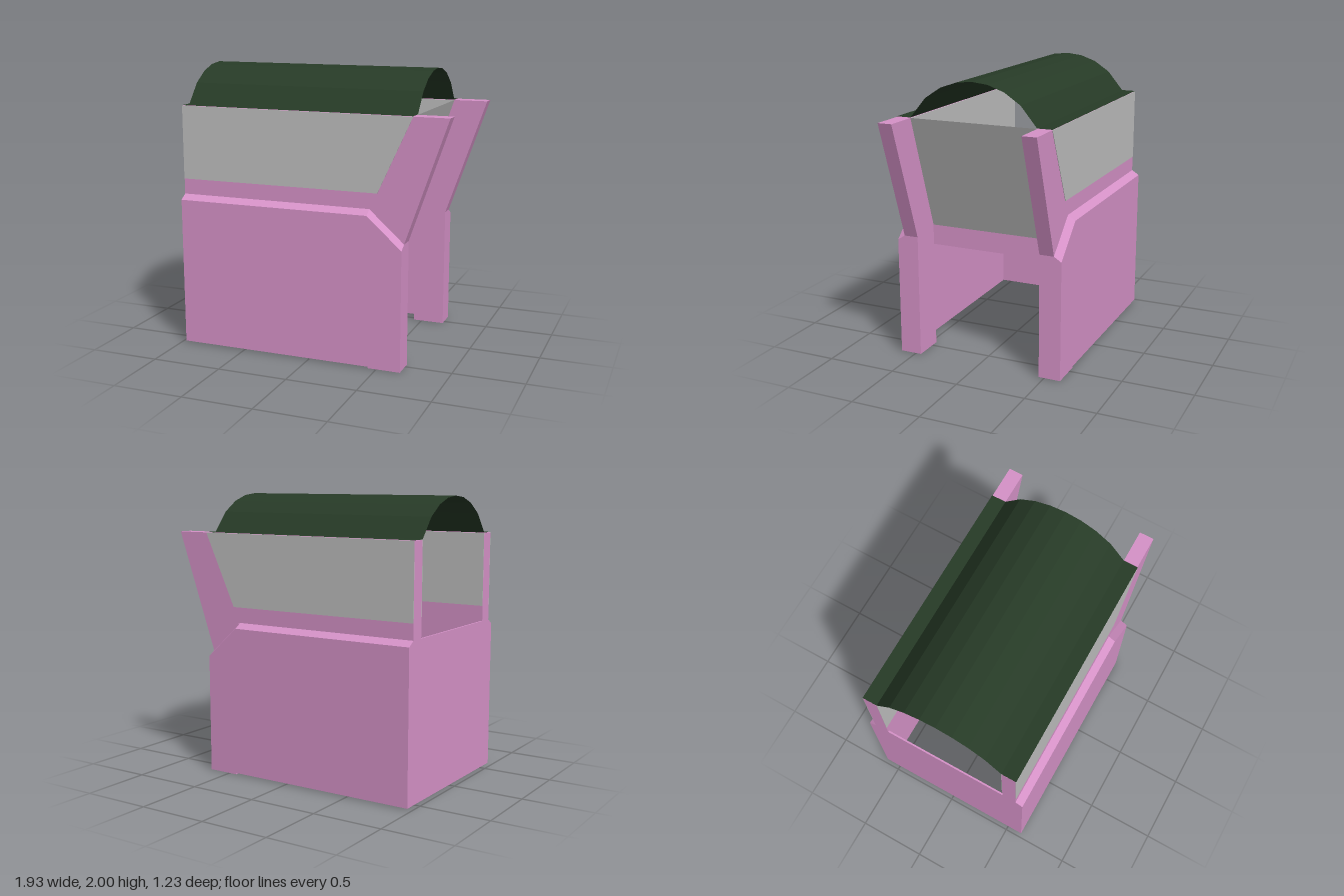
import * as THREE from 'three';

export function createModel() {
  const model = new THREE.Group();
  const pink = new THREE.MeshStandardMaterial({ color: 0xd692c8 });
  pink.name = 'pink body';
  const grey = new THREE.MeshStandardMaterial({ color: 0xbebebe, side: THREE.DoubleSide });
  grey.name = 'grey glass';
  const green = new THREE.MeshStandardMaterial({ color: 0x273b27, side: THREE.DoubleSide, flatShading: true });
  green.name = 'dark green roof';

  const add = (name, geometry, material) => {
    const mesh = new THREE.Mesh(geometry, material);
    mesh.name = name;
    model.add(mesh);
    return mesh;
  };
  // Prism with an outline in x and y, reaching from z0 to z1
  const prism = (points, z0, z1) => {
    const shape = new THREE.Shape(points.map(([x, y]) => new THREE.Vector2(x, y)));
    return new THREE.ExtrudeGeometry(shape, { depth: z1 - z0, bevelEnabled: false }).translate(0, 0, z0);
  };
  // Same prism on the side given by s
  const sidePrism = (points, zIn, zOut, s) =>
    s > 0 ? prism(points, zIn, zOut) : prism(points, -zOut, -zIn);

  const back = -0.97, inner = 0.46, mid = 0.563, outer = 0.617, eaves = 1.73;
  const wall = [[back, 1.1], [0.44, 1.1], [0.44, 0], [0.67, 0], [0.67, 0.88], [0.965, eaves], [back, eaves]];
  const skirt = [[back, 0.01], [0.44, 0.01], [0.44, 0], [0.67, 0], [0.67, 0.845], [0.425, 1.065], [back, 1.065]];
  const pane = [[back, 1.21], [0.48, 1.21], [0.72, eaves], [back, eaves]];

  for (const s of [1, -1]) {
    const side = s > 0 ? 'front' : 'rear';
    // Upper wall with raked end and post
    add(side + 'UpperWall', sidePrism(wall, inner, mid, s), pink);

    // Lower skirt: its top edge slopes up towards the upper wall
    const geometry = sidePrism(skirt, mid, outer, s);
    const p = geometry.attributes.position;
    for (let i = 0; i < p.count; i++) {
      if (p.getY(i) > 0.5 && Math.abs(p.getZ(i)) < mid + 0.01) p.setY(i, p.getY(i) + 0.035);
    }
    geometry.computeVertexNormals();
    add(side + 'Skirt', geometry, pink);

    // Side windows, outside and inside
    add(side + 'WindowOutside', sidePrism(pane, mid, mid + 0.003, s), grey);
    add(side + 'WindowInside', sidePrism(pane, inner - 0.003, inner, s), grey);
  }

  // End wall and panel below the windscreen
  add('endWall', new THREE.BoxGeometry(0.012, 1.09, 2 * mid).translate(back + 0.006, 0.555, 0), pink);
  add('windscreenPanel', new THREE.BoxGeometry(0.012, 0.145, 2 * inner).translate(0.434, 0.8375, 0), pink);

  // Raked windscreen
  const rise = eaves - 0.91, run = 0.72 - 0.44;
  const screen = new THREE.PlaneGeometry(2 * inner, Math.hypot(rise, run));
  screen.rotateY(Math.PI / 2).rotateZ(-Math.atan2(run, rise)).translate(0.58, (eaves + 0.91) / 2, 0);
  add('windscreen', screen, grey);

  // Arched open roof with flat edges, swept along x
  const steps = 8, radius = 0.527;
  const profile = [[-mid - 0.003, eaves + 0.003]];
  for (let i = 0; i <= steps; i++) {
    const z = -inner + (2 * inner * i) / steps;
    profile.push([z, 2 - radius + Math.sqrt(radius * radius - z * z)]);
  }
  profile[1][1] = profile[steps + 1][1] = eaves + 0.003;
  profile.push([mid + 0.003, eaves + 0.003]);
  const corners = [], faces = [];
  profile.forEach(([z, y], i) => {
    corners.push(back, y, z, 0.72, y, z);
    if (i) {
      const a = 2 * i - 2;
      faces.push(a, a + 2, a + 1, a + 1, a + 2, a + 3);
    }
  });
  const roof = new THREE.BufferGeometry();
  roof.setAttribute('position', new THREE.Float32BufferAttribute(corners, 3));
  roof.setIndex(faces);
  const flatRoof = roof.toNonIndexed();
  flatRoof.computeVertexNormals();
  add('roof', flatRoof, green);

  return model;
}
